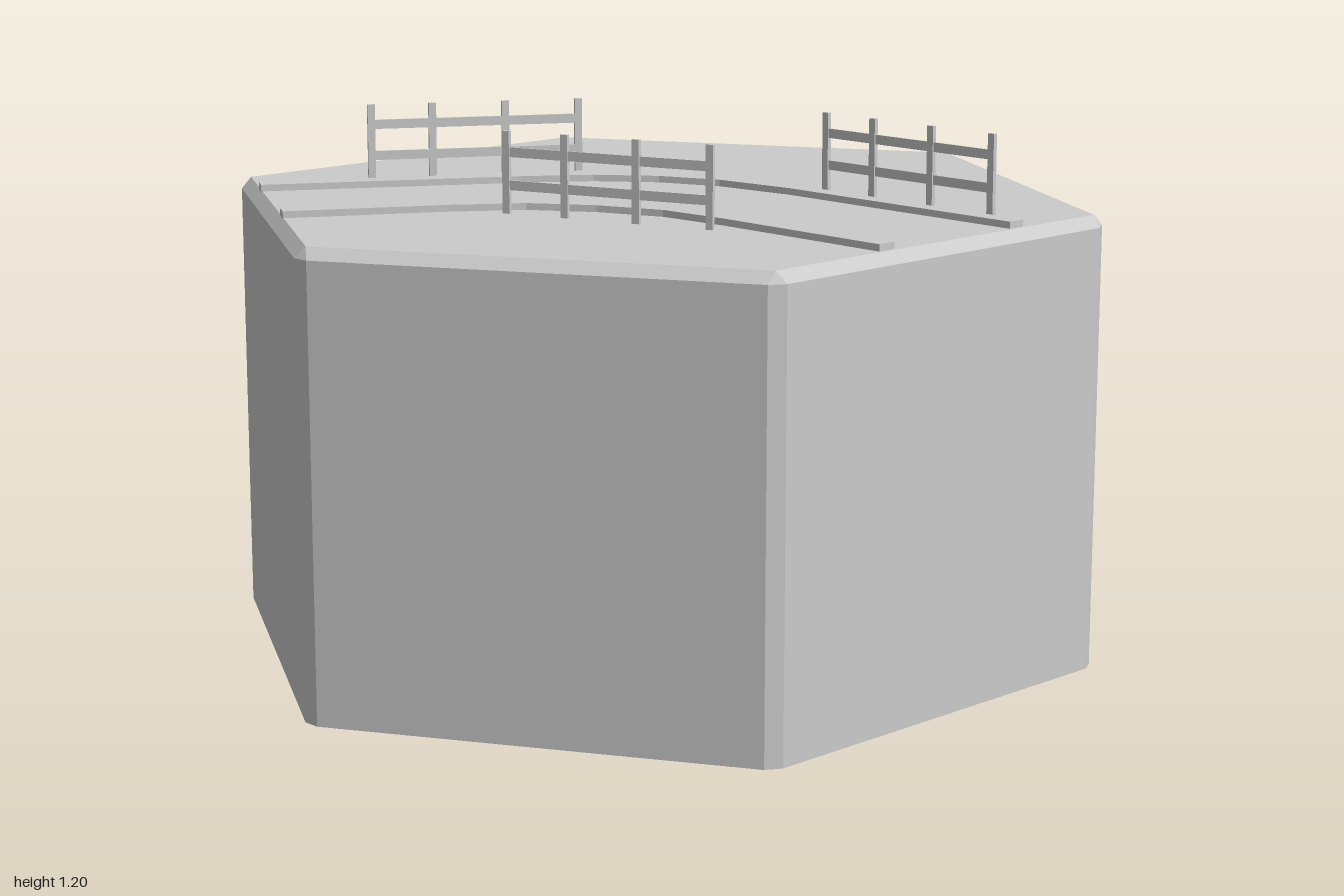
import * as THREE from 'three';
import { ConvexGeometry } from 'three/addons/geometries/ConvexGeometry.js';

const TOP = 1.015;
const material = new THREE.MeshStandardMaterial({ color: 0xcccccc, flatShading: true });

function addMesh(parent, name, geometry) {
  const mesh = new THREE.Mesh(geometry, material);
  mesh.name = name;
  parent.add(mesh);
  return mesh;
}

// Hexagonal block with bevelled upright corners and a bevelled top rim
function hexBlock() {
  const corner = (r, i) => new THREE.Vector2(Math.cos(i * Math.PI / 3), Math.sin(i * Math.PI / 3)).multiplyScalar(r);
  const R = 1.0115, bevel = 0.023;
  const points = [];
  for (let i = 0; i < 6; i++) {
    const c = corner(R, i);
    for (const side of [-1, 1]) {
      const p = c.clone().lerp(corner(R, i + side), bevel / R);
      points.push(new THREE.Vector3(p.x, 0, p.y), new THREE.Vector3(p.x, 0.99, p.y));
    }
    const t = corner(0.985, i);
    points.push(new THREE.Vector3(t.x, TOP, t.y));
  }
  return new ConvexGeometry(points);
}

// Kerb strip from its plan outline, given as [x, z] along both edges
function kerb(outer, inner) {
  const outline = [...outer, ...inner.slice().reverse()].map(([x, z]) => new THREE.Vector2(x, -z));
  const geometry = new THREE.ExtrudeGeometry(new THREE.Shape(outline), { depth: 0.02, bevelEnabled: false });
  return geometry.rotateX(-Math.PI / 2).translate(0, 1.01, 0);
}

// Four posts and two rails running along local +x
function fence(name, x, z, dx, dz) {
  const group = new THREE.Group();
  group.name = name;
  const offsets = [0, 0.173, 0.344, 0.486];
  for (const o of offsets) {
    addMesh(group, 'post', new THREE.BoxGeometry(0.017, 0.185, 0.01)).position.set(o, 0.0875, 0);
  }
  const length = offsets[3];
  for (const y of [0.062, 0.134]) {
    addMesh(group, 'rail', new THREE.BoxGeometry(length, 0.021, 0.005)).position.set(length / 2, y, 0);
  }
  group.position.set(x, TOP, z);
  group.rotation.y = Math.atan2(-dz, dx);
  return group;
}

export function createModel() {
  const model = new THREE.Group();
  model.name = 'hexRoadTile';
  addMesh(model, 'hexBlock', hexBlock());

  // Kerbs on either side of the bending road
  addMesh(model, 'outerKerb', kerb(
    [[0.262, 0.847], [0.262, 0.2], [0.243, -0.016], [0.19, -0.166], [0.088, -0.305], [-0.056, -0.39], [-0.588, -0.693]],
    [[0.219, 0.847], [0.219, 0.2], [0.195, 0.005], [0.136, -0.134], [0.04, -0.251], [-0.094, -0.348], [-0.61, -0.655]]
  ));
  addMesh(model, 'innerKerb', kerb(
    [[-0.142, 0.847], [-0.142, 0.36], [-0.163, 0.198], [-0.217, 0.053], [-0.307, -0.075], [-0.436, -0.162], [-0.78, -0.358]],
    [[-0.187, 0.847], [-0.187, 0.4], [-0.2, 0.23], [-0.26, 0.085], [-0.35, -0.043], [-0.49, -0.142], [-0.803, -0.318]]
  ));

  model.add(
    fence('backFence', 0.08, -0.348, -0.866, -0.5),
    fence('innerFence', -0.245, 0.42, -0.342, -0.94),
    fence('frontFence', 0.312, 0.715, 0, -1)
  );
  return model;
}
